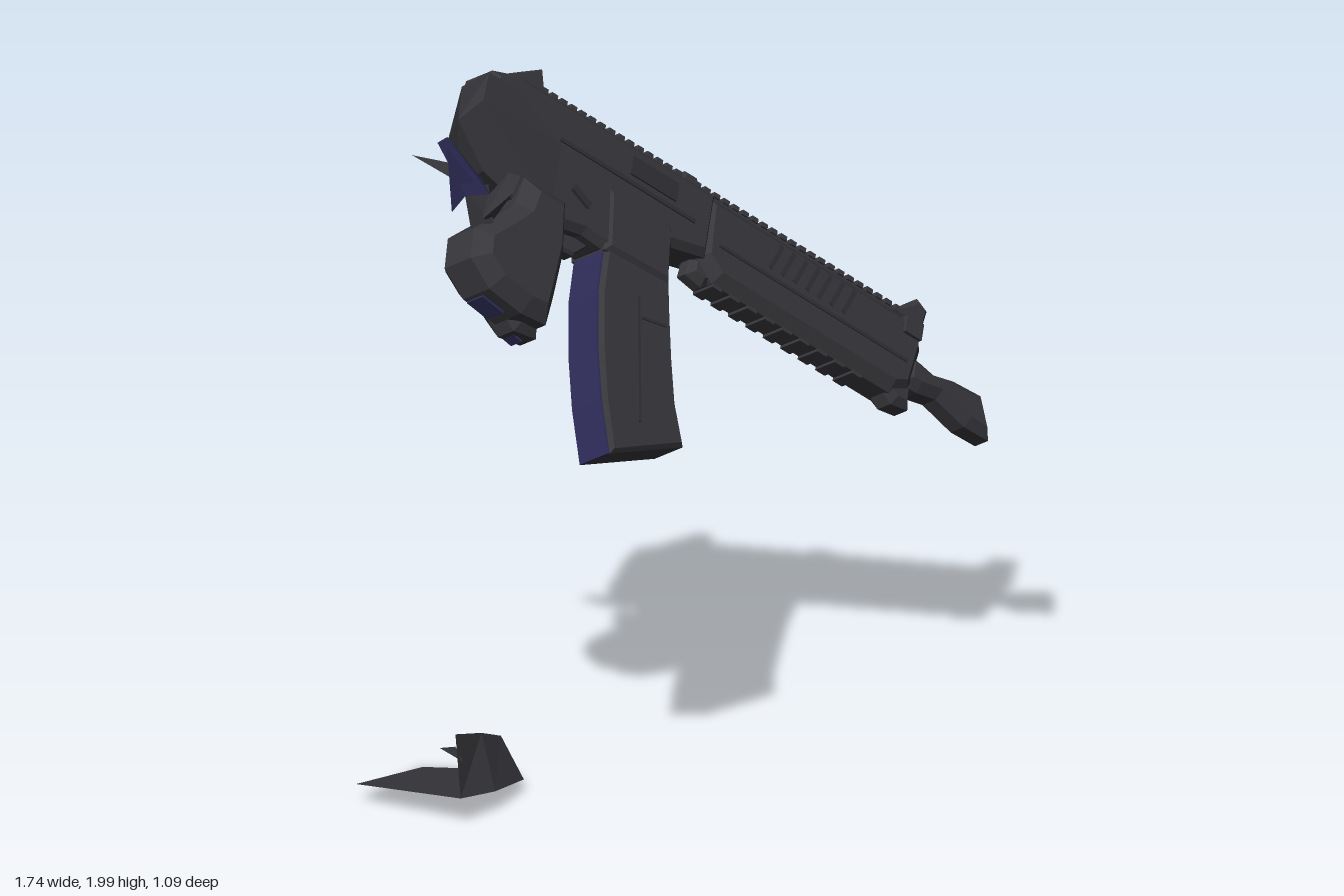
import * as THREE from 'three';
import { ConvexGeometry } from 'three/addons/geometries/ConvexGeometry.js';

const mat = (name, color, side = THREE.FrontSide) =>
  Object.assign(new THREE.MeshStandardMaterial({ color, flatShading: true, side }), { name });

export function createModel() {
  const body = mat('charcoal', 0x36363b);
  const dark = mat('dark grey', 0x2e2e33);
  const navy = mat('navy', 0x2e2c58);
  const shell = mat('charcoal shell', 0x36363b, THREE.DoubleSide);
  const model = new THREE.Group();
  const rifle = new THREE.Group();
  rifle.name = 'rifle';
  model.add(rifle);

  // Rifle frame: x along the barrel, y towards the rail, z to its side
  const F = new THREE.Vector3(0.7405, -0.608, -0.29).normalize();
  const S = new THREE.Vector3(0.642, 0.504, 0.579);
  S.addScaledVector(F, -S.dot(F)).normalize();
  const U = new THREE.Vector3().crossVectors(S, F);
  rifle.quaternion.setFromRotationMatrix(new THREE.Matrix4().makeBasis(F, U, S));
  rifle.position.set(0.047, 1.535, -0.263);

  const add = (name, geo, material, parent = rifle) => {
    const m = new THREE.Mesh(geo, material);
    m.name = name;
    parent.add(m);
    return m;
  };
  const box = (name, w, h, d, x, y, z, material = body, tilt = 0) => {
    const m = add(name, new THREE.BoxGeometry(w, h, d), material);
    m.position.set(x, y, z);
    m.rotation.z = tilt;
  };
  const hull = (name, pts, material, parent = model) =>
    add(name, new ConvexGeometry(pts.map(p => new THREE.Vector3(...p))), material, parent);
  // Side outline extruded to a total width, with bevelled edges
  const slab = (name, pts, width, z = 0, material = body, bevel = 0.02) => {
    const shape = new THREE.Shape(pts.map(p => new THREE.Vector2(...p)));
    const geo = new THREE.ExtrudeGeometry(shape, {
      depth: width - 2 * bevel, bevelEnabled: bevel > 0, bevelThickness: bevel,
      bevelSize: bevel, bevelOffset: -bevel, bevelSegments: 1,
    });
    geo.translate(0, 0, z - width / 2 + bevel);
    add(name, geo, material);
  };

  // Receiver, the slanted rear block and the side details
  slab('receiver', [[-0.66, -0.03], [0.07, -0.03], [0.07, -0.22], [-0.05, -0.25], [-0.055, -0.36],
    [-0.29, -0.375], [-0.36, -0.37], [-0.45, -0.39], [-0.55, -0.38], [-0.69, -0.38], [-0.74, -0.32],
    [-0.77, -0.16], [-0.75, -0.06]], 0.14);
  hull('rearBlock', [[-0.885, -0.3, 0.105], [-0.81, -0.2, 0.105], [-0.78, -0.09, 0.075], [-0.67, -0.085, 0.07],
    [-0.5, -0.17, 0.08], [-0.5, -0.38, 0.08], [-0.56, -0.42, 0.07], [-0.76, -0.39, 0.09],
    [-0.79, -0.28, -0.04], [-0.77, -0.09, -0.04], [-0.6, -0.06, -0.04], [-0.5, -0.38, -0.04],
    [-0.73, -0.38, -0.04]], body, rifle);
  slab('magazineWell', [[-0.31, -0.2], [-0.07, -0.2], [-0.05, -0.37], [-0.285, -0.38]], 0.155, 0, body, 0.015);
  for (const s of [-1, 1]) {
    box('receiverGroove', 0.5, 0.012, 0.006, -0.25, -0.15, s * 0.071, dark);
    box('ejectionPort', 0.17, 0.055, 0.008, -0.16, -0.1, s * 0.071, dark);
    box('selector', 0.07, 0.02, 0.02, -0.4, -0.28, s * 0.07, dark, -0.4);
  }

  // Handguard with slanted vents and lower ribs
  slab('handguard', [[0.04, -0.03], [0.84, -0.03], [0.86, -0.1], [0.84, -0.24], [0.78, -0.27],
    [0.12, -0.27], [0.05, -0.22]], 0.13, 0, body, 0.03);
  for (const s of [-1, 1]) {
    for (let i = 0; i < 7; i++) {
      box('vent', 0.014, 0.085, 0.007, 0.3 + i * 0.045, -0.105, s * 0.065, dark, -0.35);
    }
    box('handguardGroove', 0.7, 0.01, 0.006, 0.45, -0.17, s * 0.065, dark);
  }
  for (let i = 0; i < 9; i++) box('lowerRib', 0.035, 0.02, 0.075, 0.14 + i * 0.065, -0.268, 0);
  slab('handStop', [[0.05, -0.2], [0.15, -0.25], [0.1, -0.285], [0.04, -0.275]], 0.07);
  slab('frontFoot', [[0.74, -0.25], [0.85, -0.2], [0.86, -0.28], [0.8, -0.29]], 0.09);

  // Toothed top rail
  box('railBase', 1.42, 0.03, 0.055, 0.11, -0.028, 0);
  for (let i = 0; i < 40; i++) box('railTooth', 0.022, 0.014, 0.065, -0.58 + i * 0.0355, -0.01, 0);

  // Sights
  slab('rearSight', [[-0.75, -0.07], [-0.54, -0.05], [-0.55, 0], [-0.565, 0.045], [-0.63, 0.005]], 0.07, 0, body, 0.006);
  slab('frontSight', [[0.74, -0.03], [0.86, -0.04], [0.87, 0.03], [0.83, 0.05], [0.8, 0.02]], 0.08, 0, body, 0.012);
  slab('railStop', [[-0.03, -0.02], [0.035, -0.02], [0.025, 0.012], [-0.02, 0.012]], 0.06, 0, body, 0.008);
  box('sideKnob', 0.06, 0.05, 0.15, 0.8, -0.07, 0);

  // Narrow neck and flared, slanted muzzle
  slab('muzzle', [[0.82, -0.12], [0.88, -0.125], [0.93, -0.135], [1.0, -0.118], [1.1, -0.112],
    [1.15, -0.225], [1.06, -0.228], [0.95, -0.2], [0.88, -0.215], [0.82, -0.215]], 0.1, 0, body, 0.025);

  // Curved magazine with a navy spine
  const spine = [[-0.28, -0.34], [-0.275, -0.5], [-0.245, -0.66], [-0.205, -0.8], [-0.15, -0.94]];
  const front = [[0.095, -0.795], [0.045, -0.69], [0.01, -0.57], [-0.02, -0.45], [-0.045, -0.34]];
  slab('magazine', [...spine, ...front], 0.13, 0, body, 0.012);
  slab('magazineSpine', [...spine.map(([x, y]) => [x - 0.006, y - 0.002]), ...[...spine].reverse()],
    0.108, 0, navy, 0);
  for (const z of [-0.066, 0.066]) {
    box('magazineRib', 0.008, 0.36, 0.004, -0.11, -0.63, z, dark, 0.2);
    box('magazineMark', 0.09, 0.008, 0.004, -0.08, -0.5, z, dark, 0.2);
  }

  // Pistol grip, remains of the trigger guard and trigger
  slab('grip', [[-0.62, -0.34], [-0.47, -0.34], [-0.45, -0.49], [-0.46, -0.63], [-0.47, -0.72],
    [-0.56, -0.73], [-0.68, -0.715], [-0.76, -0.66], [-0.765, -0.57], [-0.69, -0.49], [-0.64, -0.43]],
  0.18, 0.045, body, 0.04);
  slab('gripHeel', [[-0.46, -0.64], [-0.45, -0.735], [-0.53, -0.75], [-0.6, -0.7]], 0.1, 0.01, body, 0.02);
  box('gripInset', 0.08, 0.006, 0.06, -0.63, -0.725, 0.03, navy, -0.13);
  box('heelInset', 0.04, 0.006, 0.04, -0.5, -0.746, 0, navy, -0.18);
  slab('triggerGuard', [[-0.44, -0.36], [-0.41, -0.425], [-0.35, -0.42], [-0.29, -0.35]], 0.05, 0, body, 0.008);
  box('trigger', 0.02, 0.08, 0.02, -0.44, -0.42, 0.01, body, 0.4);

  // Broken pieces behind the grip
  hull('shard', [[-0.675, 1.955, 0.48], [-0.645, 1.955, 0.44], [-0.54, 1.78, 0.31], [-0.53, 1.78, 0.42],
    [-0.6, 1.8, 0.48]], navy);
  hull('shardSplinter', [[-0.65, 1.94, 0.485], [-0.64, 1.77, 0.515], [-0.6, 1.8, 0.44], [-0.57, 1.82, 0.44]], navy);
  hull('shardRoot', [[-0.6, 1.8, 0.43], [-0.53, 1.79, 0.37], [-0.54, 1.68, 0.36], [-0.58, 1.68, 0.42],
    [-0.52, 1.7, 0.42]], body);
  hull('horn', [[-0.48, 1.84, 0.42], [-0.45, 1.83, 0.42], [-0.47, 1.79, 0.44], [-0.55, 1.74, 0.38],
    [-0.52, 1.7, 0.4], [-0.55, 1.72, 0.44]], body);
  hull('spike', [[-0.72, 1.825, 0.23], [-0.6, 1.78, 0.19], [-0.56, 1.73, 0.26], [-0.58, 1.73, 0.21]], body);

  // Fallen stock piece: a flat plate with a curved upright wall
  const sheet = (name, pts, index) => {
    const geo = new THREE.BufferGeometry();
    geo.setAttribute('position', new THREE.Float32BufferAttribute(pts.flat(), 3));
    geo.setIndex(index);
    geo.computeVertexNormals();
    add(name, geo, shell, model);
  };
  const low = [[-0.61, 0.08, 0.445], [-0.51, 0.06, 0.35], [-0.42, 0.033, 0.2], [-0.48, 0.015, 0.09], [-0.58, 0.005, 0.03]];
  const high = [[-0.62, 0.245, 0.4], [-0.54, 0.2, 0.28], [-0.48, 0.155, 0.19], [-0.48, 0.09, 0.11], [-0.57, 0.035, 0.04]];
  const plate = [...low, [-0.67, 0, 0], [-0.87, 0.055, 0.25]];
  sheet('stockPlate', plate, [0, 5, 6, 0, 4, 5, 0, 3, 4, 0, 2, 3, 0, 1, 2]);
  const wall = [];
  for (let i = 0; i < 4; i++) wall.push(i, i + 1, i + 6, i, i + 6, i + 5);
  sheet('stockWall', [...low, ...high], wall);
  sheet('stockSplinter', [[-0.62, 0.21, 0.4], [-0.66, 0.2, 0.38], [-0.6, 0.17, 0.41]], [0, 1, 2]);

  return model;
}
